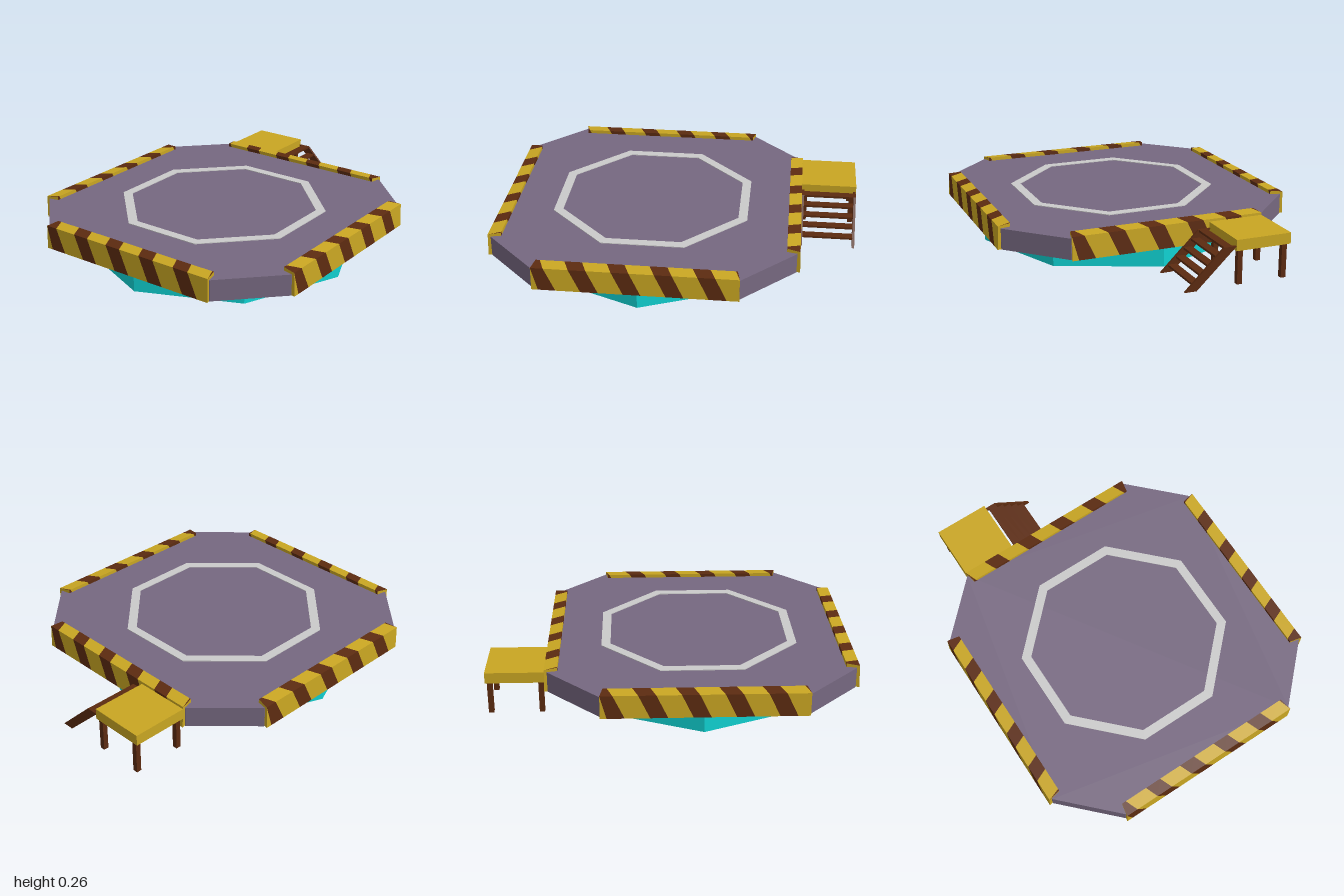
import * as THREE from 'three';

const material = (name, color, side = THREE.FrontSide) => {
  const m = new THREE.MeshStandardMaterial({ color, side });
  m.name = name;
  return m;
};

// Octagon with flat sides at distance r and side half-length f
const octagon = (r, f) => [
  [f, -r], [r, -f], [r, f], [f, r], [-f, r], [-r, f], [-r, -f], [-f, -r],
].map(([x, y]) => new THREE.Vector2(x, y));

export function createModel() {
  const deckGrey = material('deck purple grey', 0x766880);
  const yellow = material('safety yellow', 0xc9a622);
  const brown = material('rust brown', 0x5c2b10);
  const cyan = material('base cyan', 0x10d2d2, THREE.DoubleSide);
  const white = material('marking white', 0xcacaca);

  const model = new THREE.Group();
  model.name = 'landingPad';
  const pad = new THREE.Group();
  pad.name = 'pad';
  pad.position.x = -0.155;
  model.add(pad);

  const add = (parent, name, geometry, mat, x = 0, y = 0, z = 0) => {
    const mesh = new THREE.Mesh(geometry, mat);
    mesh.name = name;
    mesh.position.set(x, y, z);
    parent.add(mesh);
    return mesh;
  };
  const slab = (shape, depth) =>
    new THREE.ExtrudeGeometry(shape, { depth, bevelEnabled: false }).rotateX(-Math.PI / 2);

  // Open eight-sided base wall, a corner pointing forward
  const wall = new THREE.CylinderGeometry(0.77, 0.77, 0.13, 8, 1, true).toNonIndexed();
  wall.computeVertexNormals();
  add(pad, 'baseWall', wall, cyan, 0, 0.065, 0);

  // Deck with cut corners
  add(pad, 'deck', slab(new THREE.Shape(octagon(0.825, 0.54)), 0.115), deckGrey, 0, 0.13, 0);

  // Painted ring
  const ring = new THREE.Shape(octagon(0.543, 0.225));
  ring.holes.push(new THREE.Path(octagon(0.493, 0.204)));
  add(pad, 'paintedRing', slab(ring, 0.004), white, 0, 0.245, 0);

  // Striped barrier: profile rows of [distance out, height, half-length, stripe shift]
  const profile = [
    [0.845, 0.13, 0.54, 0.09],
    [0.84, 0.258, 0.54, 0.03],
    [0.77, 0.265, 0.525, 0],
    [0.77, 0.245, 0.525, -0.01],
  ];
  const faces = { yellow: [], brown: [] };
  const quad = (list, a, b, c, d) => list.push(...a, ...b, ...c, ...a, ...c, ...d);
  const point = ([v, y, h, shift], u) =>
    [THREE.MathUtils.clamp(u + shift, -h, h), y, v];
  const strip = (list, u0, u1) => {
    for (let i = 0; i < 3; i++) {
      const lo = profile[i], hi = profile[i + 1];
      quad(list, point(lo, u0), point(lo, u1), point(hi, u1), point(hi, u0));
    }
  };
  const period = 0.222, stripe = 0.092;
  for (let i = -1; i < 6; i++) {
    const u = -0.595 + i * period;
    strip(faces.brown, u, u + stripe);
    strip(faces.yellow, u + stripe, u + period);
  }
  // Barrier ends and underside
  const [bottom, outer, inner] = profile;
  const foot = [0.77, 0.13, 0.525, 0];
  const lip = [0.825, 0.13, 0.54, 0];
  quad(faces.yellow, point(bottom, 9), point(foot, 9), point(inner, 9), point(outer, 9));
  quad(faces.yellow, point(outer, -9), point(inner, -9), point(foot, -9), point(bottom, -9));
  quad(faces.yellow, point(lip, -9), point(lip, 9), point(bottom, 9), point(bottom, -9));

  const faceGeometry = (list) => {
    const g = new THREE.BufferGeometry();
    g.setAttribute('position', new THREE.Float32BufferAttribute(list, 3));
    g.computeVertexNormals();
    return g;
  };
  const yellowFaces = faceGeometry(faces.yellow);
  const brownFaces = faceGeometry(faces.brown);
  ['front', 'left', 'back', 'right'].forEach((side, i) => {
    const barrier = new THREE.Group();
    barrier.name = side + 'Barrier';
    barrier.rotation.y = i * Math.PI / 2;
    add(barrier, 'barrierBody', yellowFaces, yellow);
    add(barrier, 'barrierStripes', brownFaces, brown);
    pad.add(barrier);
  });

  // Side landing on four legs
  const landing = new THREE.Group();
  landing.name = 'sideLanding';
  model.add(landing);
  add(landing, 'landingTop', new THREE.BoxGeometry(0.315, 0.06, 0.312), yellow, 0.8425, 0.215, -0.384);
  const leg = new THREE.BoxGeometry(0.028, 0.186, 0.028);
  for (const x of [0.705, 0.978])
    for (const z of [-0.254, -0.509]) add(landing, 'landingLeg', leg, brown, x, 0.093, z);

  // Stairs: two slanted stringers and five treads
  const stairs = new THREE.Group();
  stairs.name = 'stairs';
  model.add(stairs);
  const side = new THREE.Shape([
    [0.055, 0], [-0.16, 0.212], [-0.23, 0.212], [-0.01, 0],
  ].map(([z, y]) => new THREE.Vector2(z, y)));
  const stringer = new THREE.ExtrudeGeometry(side, { depth: 0.014, bevelEnabled: false })
    .rotateY(-Math.PI / 2);
  for (const x of [0.7, 0.998]) add(stairs, 'stringer', stringer, brown, x, 0, 0);
  const tread = new THREE.BoxGeometry(0.296, 0.012, 0.048);
  for (let i = 0; i < 5; i++)
    add(stairs, 'tread', tread, brown, 0.842, 0.036 + i * 0.0425, -0.011 - i * 0.0435);

  return model;
}
